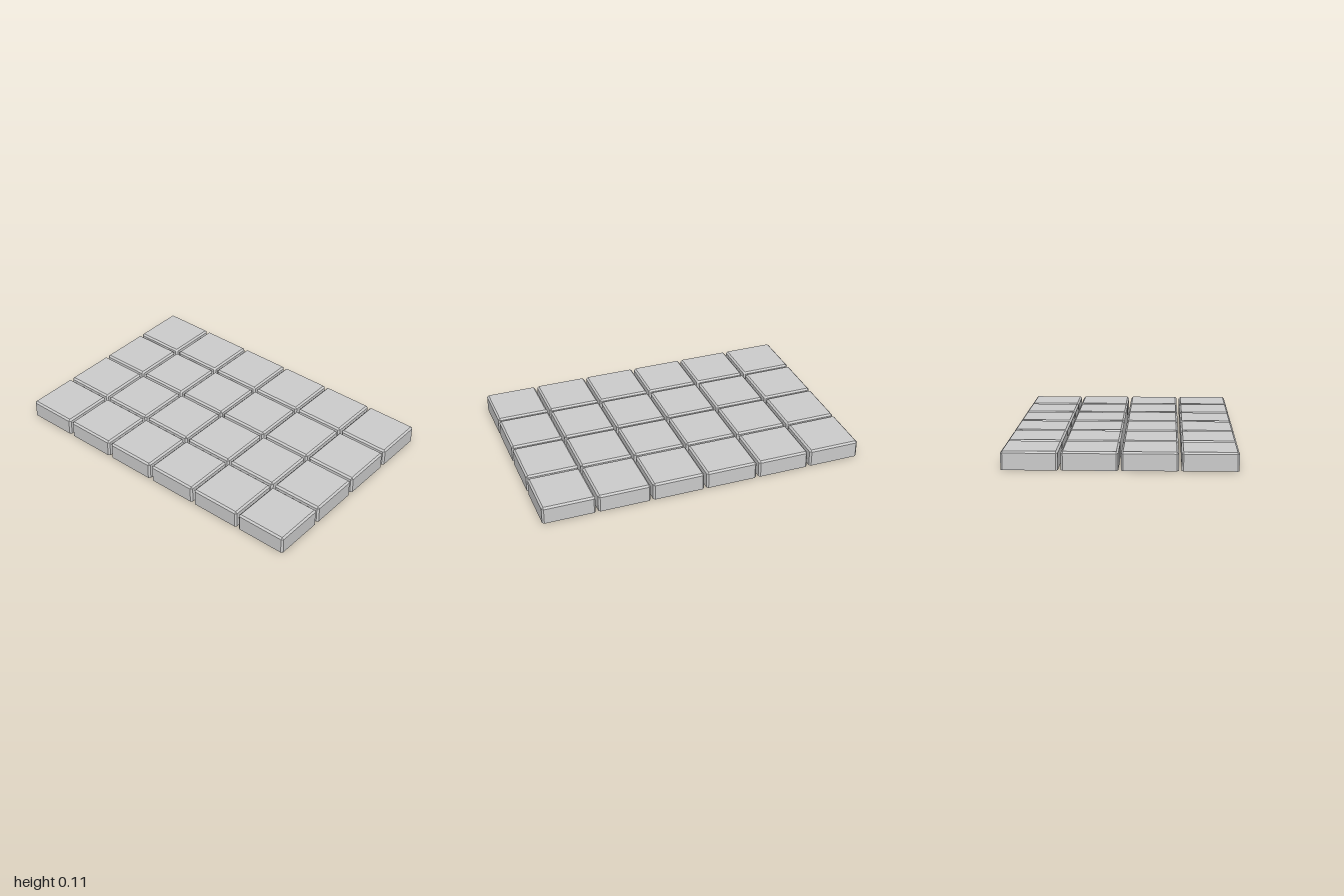
import * as THREE from 'three';

const COLS = 6, ROWS = 4;
const SIZE = 0.32, PITCH = 0.336, HEIGHT = 0.107, BEVEL = 0.0107;

// Hollow tile, open underneath: chamfered corners and a bevelled top edge
function tileGeometry() {
  const r = SIZE / 2, s = r - BEVEL;
  const corners = [[1, 1], [-1, 1], [-1, -1], [1, -1]];
  const outline = [], topOutline = [];
  corners.forEach(([sx, sz], i) => {
    const pair = [[sx * r, sz * s], [sx * s, sz * r]];
    if (i % 2) pair.reverse();
    outline.push(...pair);
    topOutline.push([sx * s, sz * s], [sx * s, sz * s]);
  });
  const ring = (points, y) => points.map(([x, z]) => new THREE.Vector3(x, y, z));
  const rings = [ring(outline, 0), ring(outline, HEIGHT - BEVEL), ring(topOutline, HEIGHT)];

  const verts = [];
  const tri = (a, b, c) => {
    if (!a.equals(b) && !b.equals(c) && !a.equals(c)) verts.push(a, b, c);
  };
  // Walls, then bevel
  for (let k = 0; k < 2; k++) {
    for (let i = 0; i < 8; i++) {
      const j = (i + 1) % 8, low = rings[k], up = rings[k + 1];
      tri(low[i], up[i], up[j]);
      tri(low[i], up[j], low[j]);
    }
  }
  // Flat top
  const top = rings[2];
  tri(top[0], top[4], top[2]);
  tri(top[0], top[6], top[4]);

  const geometry = new THREE.BufferGeometry().setFromPoints(verts);
  geometry.computeVertexNormals();
  return geometry;
}

export function createModel() {
  const model = new THREE.Group();
  model.name = 'tileGrid';
  const geometry = tileGeometry();
  const material = new THREE.MeshStandardMaterial({
    color: 0xcccccc, flatShading: true, side: THREE.DoubleSide,
  });
  // Evenly spaced rows of tiles
  for (let row = 0; row < ROWS; row++) {
    for (let col = 0; col < COLS; col++) {
      const tile = new THREE.Mesh(geometry, material);
      tile.name = `tileRow${row + 1}Column${col + 1}`;
      tile.position.set((col - (COLS - 1) / 2) * PITCH, 0, (row - (ROWS - 1) / 2) * PITCH);
      model.add(tile);
    }
  }
  return model;
}
